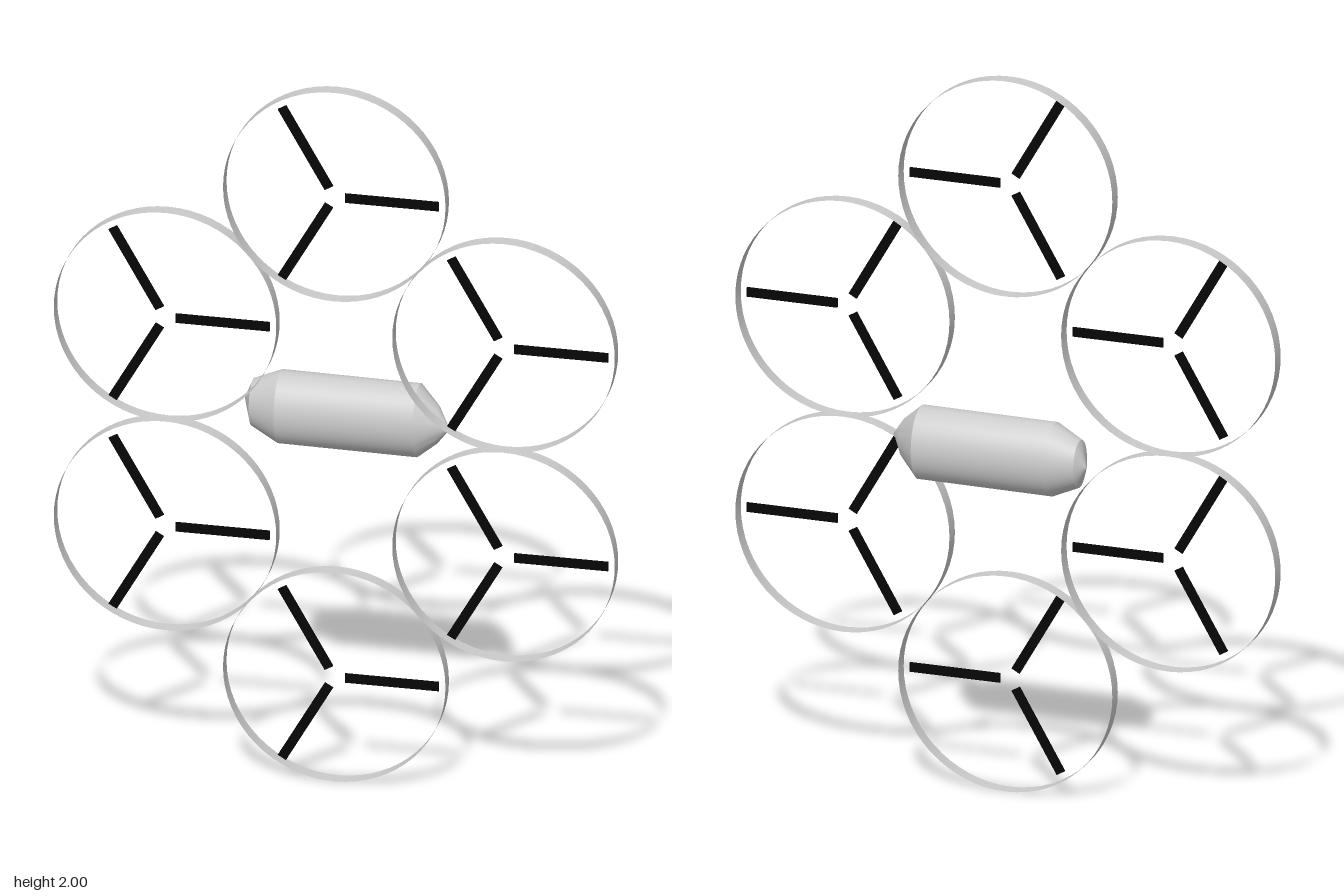
import * as THREE from 'three';
import { toCreasedNormals } from 'three/addons/utils/BufferGeometryUtils.js';

const RING_RADIUS = 0.303;
const RING_Z = 0.1;
const RING_DEPTH = 0.042;

// Hull: a lathe along x, flattened in z, its ends skewed sideways ring by ring
function createHull(material) {
  // [x, radius, z of the ring centre]
  const rings = [
    [-0.29, 0, -0.082], [-0.262, 0.066, -0.058], [-0.185, 0.102, -0.046],
    [0.195, 0.102, -0.037], [0.25, 0.053, -0.02], [0.288, 0, 0.003],
  ];
  const profile = rings.map(([x, r]) => new THREE.Vector2(r, x));
  const geometry = new THREE.LatheGeometry(profile, 32);
  geometry.rotateZ(-Math.PI / 2);
  const position = geometry.attributes.position;
  for (let i = 0; i < position.count; i++) {
    position.setZ(i, position.getZ(i) * 0.8 + rings[i % rings.length][2]);
  }
  const hull = new THREE.Mesh(toCreasedNormals(geometry, 0.4), material);
  hull.name = 'hull';
  hull.position.y = 1;
  return hull;
}

// Rotor: thin open hoop with three separate blades
function createRotor(hoopMaterial, bladeMaterial) {
  const rotor = new THREE.Group();
  rotor.name = 'rotor';

  const hoopGeometry = new THREE.CylinderGeometry(RING_RADIUS, RING_RADIUS, RING_DEPTH, 64, 1, true);
  hoopGeometry.rotateX(Math.PI / 2);
  const hoop = new THREE.Mesh(hoopGeometry, hoopMaterial);
  hoop.name = 'hoop';
  rotor.add(hoop);

  const bladeGeometry = new THREE.BoxGeometry(0.256, 0.026, 0.005);
  bladeGeometry.translate(0.157, 0, 0.02);
  for (let i = 0; i < 3; i++) {
    const blade = new THREE.Mesh(bladeGeometry, bladeMaterial);
    blade.name = 'blade';
    blade.rotation.z = (i * Math.PI * 2) / 3;
    rotor.add(blade);
  }
  return rotor;
}

export function createModel() {
  const grey = new THREE.MeshStandardMaterial({ color: 0xcccccc });
  const hoopGrey = new THREE.MeshStandardMaterial({ color: 0xcccccc, side: THREE.DoubleSide });
  const black = new THREE.MeshStandardMaterial({ color: 0x050505 });

  const model = new THREE.Group();
  model.name = 'multirotor';
  model.add(createHull(grey));

  // Six rotors around the hull
  const centres = [[0, 0.697], [0, -0.697]];
  for (const sx of [-1, 1]) {
    for (const sy of [-1, 1]) centres.push([sx * 0.461, sy * 0.303]);
  }
  for (const [x, y] of centres) {
    const rotor = createRotor(hoopGrey, black);
    rotor.position.set(x, 1 + y, RING_Z);
    model.add(rotor);
  }
  return model;
}
